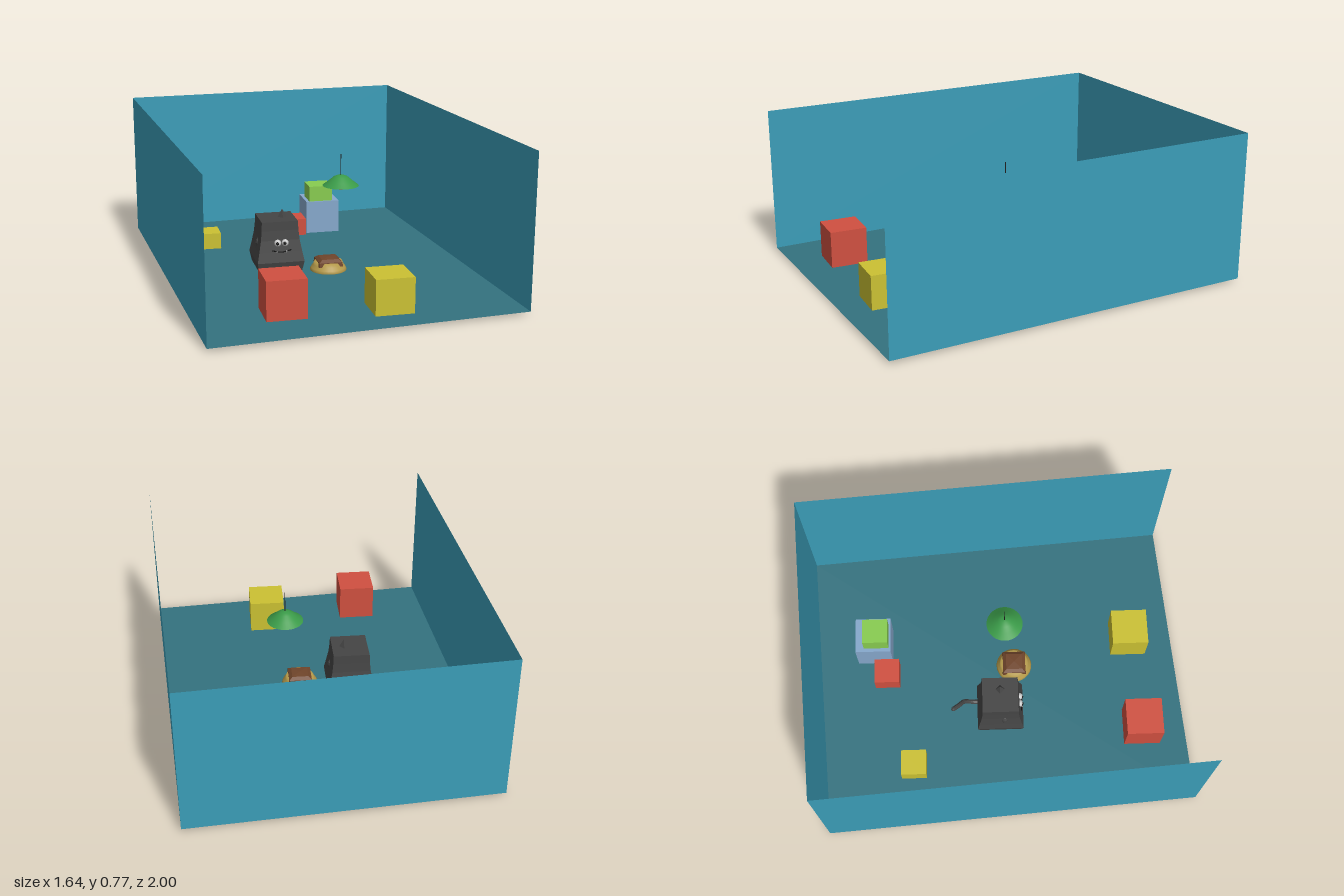
import * as THREE from 'three';

const paint = (color, extra = {}) => new THREE.MeshStandardMaterial({ color, ...extra });

function add(parent, name, geometry, material, x = 0, y = 0, z = 0) {
  const mesh = new THREE.Mesh(geometry, material);
  mesh.name = name;
  mesh.position.set(x, y, z);
  parent.add(mesh);
  return mesh;
}

const lathe = (points, sides, start = 0) =>
  new THREE.LatheGeometry(points.map(([r, y]) => new THREE.Vector2(r, y)), sides, start);

// Floor and three thin walls, open at the front
function room() {
  const g = new THREE.Group();
  g.name = 'room';
  const W = 1.514, D = 1.895, y0 = 0.015, H = 0.755;
  const wall = paint(0x3b9db8, { side: THREE.DoubleSide });
  const floor = paint(0x34727f, { side: THREE.DoubleSide });
  add(g, 'floor', new THREE.PlaneGeometry(W, D).rotateX(-Math.PI / 2), floor, 0, y0, 0);
  add(g, 'backWall', new THREE.PlaneGeometry(W, H), wall, 0, y0 + H / 2, -D / 2);
  for (const s of [-1, 1]) {
    const side = new THREE.PlaneGeometry(D, H).rotateY(-s * Math.PI / 2);
    add(g, s > 0 ? 'leftWall' : 'rightWall', side, wall, s * W / 2, y0 + H / 2, 0);
  }
  g.rotation.y = 0.0694;
  return g;
}

// Toy blocks: name, colour, centre x, bottom, top, centre z, width
function blocks() {
  const g = new THREE.Group();
  g.name = 'blocks';
  const red = 0xd05040, yellow = 0xcbc133;
  const list = [
    ['largeYellowBlock', yellow, 0.203, 0, 0.19, 0.70, 0.187],
    ['largeRedBlock', red, -0.308, 0.047, 0.235, 0.738, 0.187],
    ['smallYellowBlock', yellow, -0.48, 0.003, 0.1, -0.458, 0.13],
    ['smallRedBlock', red, 0.022, 0.017, 0.11, -0.597, 0.13],
    ['blueBlock', 0x86a8cc, 0.192, 0.002, 0.195, -0.662, 0.185],
    ['greenBlock', 0x88cc50, 0.183, 0.195, 0.28, -0.645, 0.13],
  ];
  for (const [name, color, x, y0, y1, z, w] of list)
    add(g, name, new THREE.BoxGeometry(w, y1 - y0, w), paint(color), x, (y0 + y1) / 2, z);
  return g;
}

// Hanging lamp
function lamp() {
  const g = new THREE.Group();
  g.name = 'lamp';
  add(g, 'shade', lathe([[0.092, 0.44], [0.062, 0.463], [0.036, 0.485], [0.018, 0.493], [0, 0.495]], 32),
    paint(0x3a9a48, { side: THREE.DoubleSide }));
  add(g, 'bulb', new THREE.SphereGeometry(0.034, 20, 14), paint(0xcccccc), 0, 0.45, 0);
  add(g, 'cord', new THREE.CylinderGeometry(0.002, 0.002, 0.11, 8), paint(0x222222), 0, 0.548, 0);
  g.position.set(0.14, 0, 0.032);
  return g;
}

// Square-bodied creature with a face on the front and a curled tail
function creature() {
  const g = new THREE.Group();
  g.name = 'creature';
  const fur = paint(0x454545, { flatShading: true });
  const profile = [[0, 0.01], [0.096, 0.01], [0.11, 0.03], [0.12, 0.08], [0.11, 0.13], [0.099, 0.19],
    [0.094, 0.24], [0.092, 0.285], [0, 0.285]].map(([r, y]) => [r * Math.SQRT2, y]);
  add(g, 'body', lathe(profile, 4, Math.PI / 4), fur);
  add(g, 'ear', new THREE.ConeGeometry(0.026, 0.045, 4), fur, 0.03, 0.304, 0);
  const white = paint(0xdddddd), black = paint(0x111111);
  for (const s of [-1, 1]) {
    add(g, 'eye', new THREE.SphereGeometry(0.018, 16, 12), white, s * 0.019 + 0.005, 0.177, 0.1);
    add(g, 'pupil', new THREE.SphereGeometry(0.009, 12, 8), black, s * 0.019 + 0.002, 0.178, 0.112);
    add(g, 'arm', new THREE.SphereGeometry(0.02, 8, 6), fur, s * 0.092, 0.162, 0.02).scale.y = 1.5;
    add(g, 'tooth', new THREE.ConeGeometry(0.005, 0.012, 4).rotateX(Math.PI), white, s * 0.025 + 0.005, 0.132, 0.112);
  }
  const smile = new THREE.CatmullRomCurve3([[-0.045, 0.142], [0.005, 0.132], [0.055, 0.142]]
    .map(([x, y]) => new THREE.Vector3(x, y, 0.11)));
  add(g, 'mouth', new THREE.TubeGeometry(smile, 12, 0.003, 6), black);
  const tail = new THREE.CatmullRomCurve3([[0.035, 0.06, -0.1], [0.036, 0.07, -0.15], [0.028, 0.1, -0.19],
    [0, 0.13, -0.215], [-0.027, 0.15, -0.245]].map(p => new THREE.Vector3(...p)));
  add(g, 'tail', new THREE.TubeGeometry(tail, 16, 0.012, 8), fur);
  add(g, 'tailTip', new THREE.SphereGeometry(0.012, 8, 6), fur, -0.027, 0.15, -0.245);
  g.position.set(-0.188, 0, 0);
  return g;
}

// Round cake with a square glaze on top
function cake() {
  const g = new THREE.Group();
  g.name = 'cake';
  add(g, 'cakeBase', lathe([[0, 0.008], [0.088, 0.008], [0.094, 0.018], [0.088, 0.03], [0.078, 0.045],
    [0.07, 0.062], [0, 0.066]], 28), paint(0xb59a4a));
  add(g, 'glaze', lathe([[0.088, 0.044], [0.084, 0.066], [0.06, 0.079], [0, 0.083]], 4, Math.PI / 4),
    paint(0x70452b, { flatShading: true, side: THREE.DoubleSide }));
  g.position.set(0.064, 0, 0.082);
  return g;
}

export function createModel() {
  const model = new THREE.Group();
  model.name = 'playroom';
  model.add(room(), blocks(), lamp(), creature(), cake());
  return model;
}
